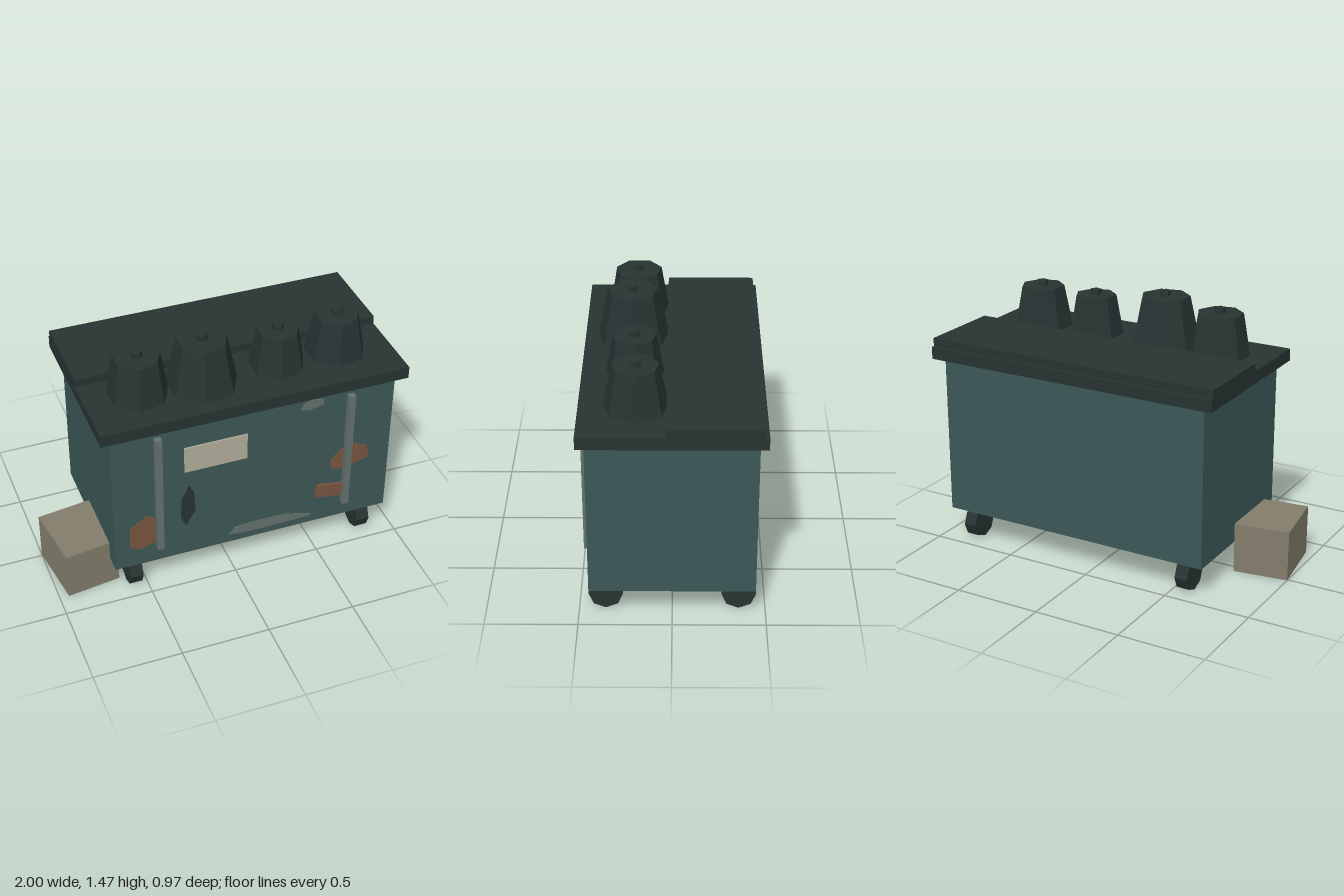
import * as THREE from 'three';

const mat = (name, color) => {
  const m = new THREE.MeshStandardMaterial({ color });
  m.name = name;
  return m;
};

export function createModel() {
  const teal = mat('teal paint', 0x3b5856);
  const dark = mat('dark plastic', 0x273332);
  const metal = mat('grey metal', 0x64716e);
  const rust = mat('rust', 0x79543e);
  const paper = mat('paper', 0xb2ae9b);
  const card = mat('cardboard', 0x827d6b);

  const root = new THREE.Group();
  root.name = 'dumpster';
  const FRONT = 0.443;

  const add = (name, geometry, material, x, y, z) => {
    const mesh = new THREE.Mesh(geometry, material);
    mesh.name = name;
    mesh.position.set(x, y, z);
    root.add(mesh);
    return mesh;
  };
  // Box given by its minimum and maximum corners
  const block = (name, material, [x0, y0, z0], [x1, y1, z1]) =>
    add(name, new THREE.BoxGeometry(x1 - x0, y1 - y0, z1 - z0), material,
      (x0 + x1) / 2, (y0 + y1) / 2, (z0 + z1) / 2);
  // Faceted cylinder with flat sides
  const facet = (rTop, rBottom, height, sides, start = 0) => {
    const g = new THREE.CylinderGeometry(rTop, rBottom, height, sides, 1, false, start).toNonIndexed();
    g.computeVertexNormals();
    return g;
  };
  // Thin irregular plate on the front wall
  const patch = (name, material, points) => {
    const shape = new THREE.Shape(points.map(([x, y]) => new THREE.Vector2(x, y)));
    add(name, new THREE.ExtrudeGeometry(shape, { depth: 0.004, bevelEnabled: false }), material, 0, 0, FRONT);
  };

  // Container and its two-step lid
  block('body', teal, [-0.69, 0.177, -FRONT], [0.94, 1.09, FRONT]);
  block('lid', dark, [-0.75, 1.09, -0.484], [1, 1.16, 0.484]);
  block('rearLidPanel', dark, [-0.75, 1.16, -0.465], [1, 1.207, 0.03]);

  // Wheels
  for (const x of [-0.57, 0.813]) {
    for (const z of [-0.357, 0.357]) {
      add('wheel', facet(0.093, 0.093, 0.075, 8), dark, x, 0.093, z).rotation.z = Math.PI / 2;
    }
  }

  // Rubbish bags with knotted tops: x, z, base radius, top radius, top height
  const bags = [
    [-0.453, 0.195, 0.17, 0.13, 1.4],
    [-0.1, 0.22, 0.2, 0.14, 1.44],
    [0.34, 0.2, 0.158, 0.118, 1.39],
    [0.69, 0.187, 0.172, 0.125, 1.4],
  ];
  for (const [x, z, base, top, y] of bags) {
    add('bag', facet(top, base, y - 1.16, 7, Math.PI / 2), dark, x, (y + 1.16) / 2, z);
    add('bagKnot', facet(0.032, 0.032, 0.04, 5, Math.PI / 2), dark, x, y + 0.01, z);
  }

  // Front ribs and paper notice
  for (const x of [-0.434, 0.677]) {
    block('frontRib', metal, [x - 0.019, 0.278, FRONT], [x + 0.019, 1.04, 0.477]);
  }
  block('notice', paper, [-0.283, 0.763, FRONT], [0.077, 0.927, FRONT + 0.008]);

  // Rust, scrapes and a dark stain
  patch('leftRust', rust, [[-0.605, 0.315], [-0.6, 0.45], [-0.495, 0.515], [-0.44, 0.48], [-0.44, 0.32], [-0.545, 0.29]]);
  patch('rightRust', rust, [[0.583, 0.595], [0.635, 0.655], [0.715, 0.685], [0.8, 0.65], [0.818, 0.56], [0.655, 0.52], [0.588, 0.54]]);
  patch('stain', dark, [[-0.305, 0.445], [-0.3, 0.57], [-0.257, 0.66], [-0.23, 0.61], [-0.22, 0.48], [-0.278, 0.38]]);
  patch('lowerScrape', metal, [[-0.02, 0.23], [0.015, 0.278], [0.16, 0.285], [0.33, 0.28], [0.48, 0.237], [0.47, 0.225], [0.15, 0.22]]);
  patch('upperScrape', metal, [[0.385, 1.0], [0.4, 1.035], [0.455, 1.055], [0.515, 1.045], [0.525, 1.01], [0.435, 0.99]]);
  add('rustyPlate', new THREE.BoxGeometry(0.2, 0.083, 0.02), rust, 0.6, 0.387, 0.45).rotation.z = -0.15;

  // Cardboard box beside the container
  add('cardboardBox', new THREE.BoxGeometry(0.31, 0.287, 0.384), card, -0.82, 0.1435, 0.161).rotation.y = 0.138;

  return root;
}
